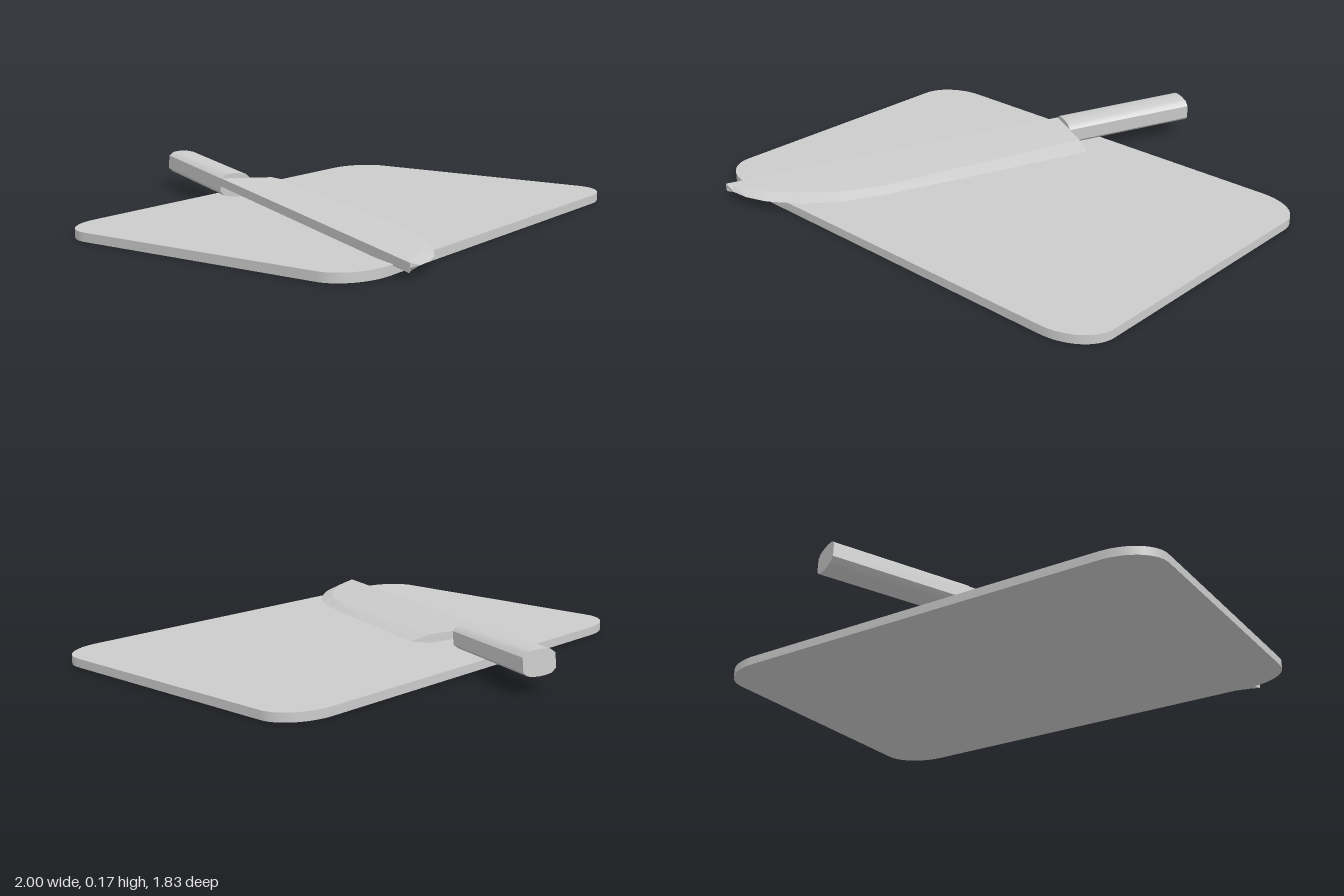
import * as THREE from 'three';
import { toCreasedNormals } from 'three/addons/utils/BufferGeometryUtils.js';

const material = new THREE.MeshStandardMaterial({ color: 0xcccccc });
const flatMaterial = new THREE.MeshStandardMaterial({ color: 0xcccccc, flatShading: true });

function part(name, geometry, mat = material) {
  const mesh = new THREE.Mesh(geometry, mat);
  mesh.name = name;
  return mesh;
}

// Rectangle with elliptical corners (rx, ry), centred on the origin
function roundedRect(w, h, rx, ry) {
  const shape = new THREE.Shape();
  const cx = w / 2 - rx, cy = h / 2 - ry;
  [[1, 1], [-1, 1], [-1, -1], [1, -1]].forEach(([sx, sy], i) => {
    const a = i * Math.PI / 2;
    shape.absellipse(sx * cx, sy * cy, rx, ry, a, a + Math.PI / 2, false);
  });
  return shape;
}

function extrude(shape, depth, curveSegments) {
  const g = new THREE.ExtrudeGeometry(shape, { depth, curveSegments, bevelEnabled: false });
  return toCreasedNormals(g, 0.6);
}

// Blade lofted from five-sided sections: x runs spine to edge, z runs heel to tip
function bladeGeometry() {
  const h = 0.017;
  // [z, start of bevel, cutting edge]
  const stations = [
    [0, 0.235, 0.317], [0.5, 0.257, 0.32], [0.9, 0.275, 0.32], [1.05, 0.252, 0.305],
    [1.13, 0.224, 0.282], [1.2, 0.193, 0.253], [1.28, 0.15, 0.21], [1.335, 0.118, 0.174],
    [1.395, 0.06, 0.113], [1.43, 0.02, 0.056], [1.454, 0, 0],
  ];
  const positions = [], index = [];
  for (const [z, bevel, edge] of stations) {
    positions.push(0, h, z, 0, -h, z, bevel, -h, z, edge, 0, z, bevel, h, z);
  }
  for (let i = 0; i < stations.length - 1; i++) {
    for (let j = 0; j < 5; j++) {
      const a = i * 5 + j, b = i * 5 + (j + 1) % 5;
      index.push(a, b, b + 5, a, b + 5, a + 5);
    }
  }
  for (let j = 1; j < 4; j++) index.push(0, j + 1, j); // heel
  const g = new THREE.BufferGeometry();
  g.setAttribute('position', new THREE.Float32BufferAttribute(positions, 3));
  g.setIndex(index);
  const flat = g.toNonIndexed();
  flat.computeVertexNormals();
  return flat;
}

// Handle section: chamfered corners with a gently crowned top and bottom
function handleShape() {
  const w = 0.067, h = 0.05;
  const s = new THREE.Shape();
  s.moveTo(w, -0.028);
  s.lineTo(w, 0.028);
  s.lineTo(w - 0.018, h - 0.006);
  s.quadraticCurveTo(0, h + 0.006, -w + 0.018, h - 0.006);
  s.lineTo(-w, 0.028);
  s.lineTo(-w, -0.028);
  s.lineTo(-w + 0.018, -h + 0.006);
  s.quadraticCurveTo(0, -h - 0.006, w - 0.018, -h + 0.006);
  s.closePath();
  return s;
}

export function createModel() {
  const model = new THREE.Group();
  model.name = 'cuttingBoardWithKnife';

  // Cutting board
  const board = part('cuttingBoard', extrude(roundedRect(2, 1.34, 0.2, 0.15), 0.035, 10));
  board.rotation.x = -Math.PI / 2;
  board.position.z = 0.15;
  model.add(board);

  // Knife lying diagonally, tip dipped and edge rolled down slightly
  const knife = new THREE.Group();
  knife.name = 'knife';
  knife.add(part('blade', bladeGeometry(), flatMaterial));
  const handle = part('handle', extrude(handleShape(), 0.572, 6));
  handle.position.set(0.067, -0.012, -0.572);
  knife.add(handle);

  const along = new THREE.Vector3(-0.433, -0.045, 0.901).normalize();
  const across = new THREE.Vector3(0.901, -0.055, 0.433).normalize();
  const up = along.clone().cross(across).normalize();
  across.crossVectors(up, along);
  knife.quaternion.setFromRotationMatrix(new THREE.Matrix4().makeBasis(across, up, along));
  knife.position.set(-0.19, 0.108, -0.4);
  model.add(knife);

  return model;
}
